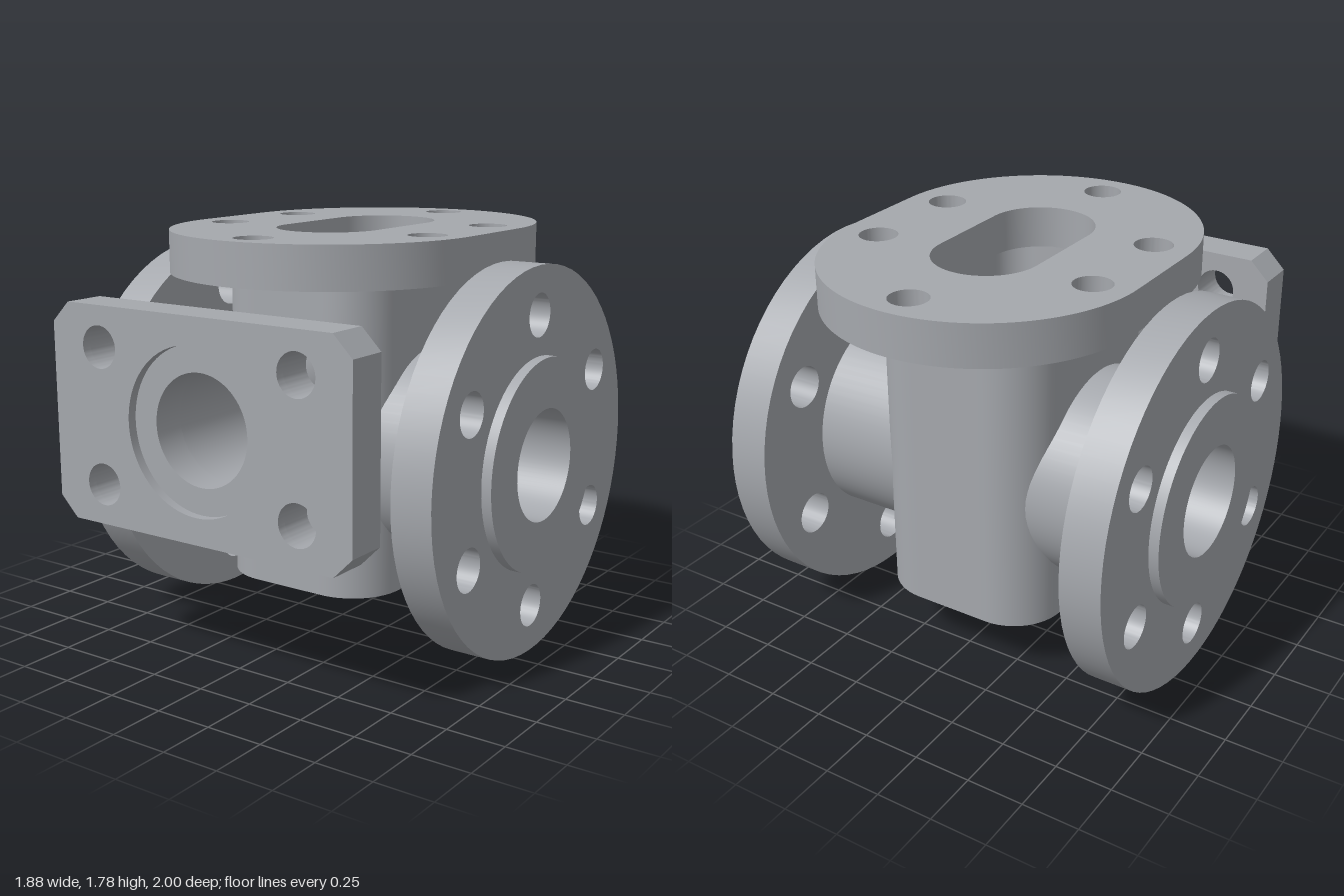
import * as THREE from 'three';
import { toCreasedNormals } from 'three/addons/utils/BufferGeometryUtils.js';

const CZ = -0.113;            // z of the body's vertical axis
const SIDE_Y = 0.83, FRONT_Y = 1.06;

const circle = (x, y, r) => new THREE.Path().absarc(x, y, r, 0, Math.PI * 2, false);

// Rounded rectangle with half sizes a, b; starts mid-flat on the +x side
function roundedRect(a, b, r) {
  const s = new THREE.Shape();
  s.moveTo(a, 0);
  s.lineTo(a, b - r);
  s.absarc(a - r, b - r, r, 0, Math.PI / 2, false);
  s.lineTo(-a + r, b);
  s.absarc(-a + r, b - r, r, Math.PI / 2, Math.PI, false);
  s.lineTo(-a, -b + r);
  s.absarc(-a + r, -b + r, r, Math.PI, Math.PI * 1.5, false);
  s.lineTo(a - r, -b);
  s.absarc(a - r, -b + r, r, Math.PI * 1.5, Math.PI * 2, false);
  s.lineTo(a, 0);
  return s;
}

// Straight-ended slot outline (rounded ends along y)
function slot(r, half, Type = THREE.Shape) {
  const s = new Type();
  s.absarc(0, half, r, 0, Math.PI, false);
  s.absarc(0, -half, r, Math.PI, Math.PI * 2, false);
  s.closePath();
  return s;
}

// Plate with holes, extruded from z0 to z1
function plate(shape, holes, z0, z1) {
  shape.holes.push(...holes);
  const g = new THREE.ExtrudeGeometry(shape, { depth: z1 - z0, bevelEnabled: false, curveSegments: 36 });
  g.translate(0, 0, z0);
  return toCreasedNormals(g, 0.5);
}

function disc(r) {
  return new THREE.Shape().absarc(0, 0, r, 0, Math.PI * 2, false);
}

// Vertical wall following an outline, left open where the pipe necks pass through
function wall(outline, y0, y1, inward) {
  const pts = outline.getSpacedPoints(128), n = pts.length, rows = 48;
  const pos = [], idx = [];
  for (let j = 0; j <= rows; j++) {
    for (const p of pts) pos.push(p.x, y0 + (y1 - y0) * j / rows, p.y);
  }
  for (let j = 0; j < rows; j++) {
    const y = y0 + (y1 - y0) * (j + 0.5) / rows;
    for (let i = 0; i < n - 1; i++) {
      const x = (pts[i].x + pts[i + 1].x) / 2, z = (pts[i].y + pts[i + 1].y) / 2;
      const inFront = z > 0.3 && Math.hypot(x, y - FRONT_Y) < 0.257;
      const inSide = Math.abs(x) > 0.25 && Math.hypot(z, y - SIDE_Y) < 0.275;
      if (inFront || inSide) continue;
      const a = j * n + i, b = a + 1, c = a + n, d = c + 1;
      if (inward) idx.push(a, b, c, b, d, c);
      else idx.push(a, c, b, b, c, d);
    }
  }
  const g = new THREE.BufferGeometry();
  g.setAttribute('position', new THREE.Float32BufferAttribute(pos, 3));
  g.setIndex(idx);
  g.computeVertexNormals();
  return g;
}

export function createModel() {
  const model = new THREE.Group();
  model.name = 'valveBody';
  const metal = new THREE.MeshStandardMaterial({ color: 0xa5a8ad });
  metal.name = 'grey metal';
  const add = (parent, name, geometry) => {
    const m = new THREE.Mesh(geometry, metal);
    m.name = name;
    parent.add(m);
    return m;
  };
  const group = (name, x, y, z) => {
    const g = new THREE.Group();
    g.name = name;
    g.position.set(x, y, z);
    model.add(g);
    return g;
  };

  // Hollow central body
  const body = group('body', 0, 0, CZ);
  const outer = roundedRect(0.408, 0.52, 0.235);
  const inner = roundedRect(0.305, 0.417, 0.13);
  add(body, 'outerWall', wall(outer, 0.255, 1.6, false));
  add(body, 'cavityWall', wall(inner, 0.36, 1.6, true));
  add(body, 'bottom', new THREE.ShapeGeometry(outer, 24).rotateX(Math.PI / 2).translate(0, 0.255, 0));
  add(body, 'cavityFloor', new THREE.ShapeGeometry(inner, 24).rotateX(-Math.PI / 2).translate(0, 0.36, 0));

  // Slot-shaped top flange with six bolt holes
  const topHoles = [[0, 0.73], [0, -0.73]];
  for (const sx of [-1, 1]) for (const sy of [-1, 1]) topHoles.push([sx * 0.51, sy * 0.248]);
  const top = plate(slot(0.68, 0.206),
    [slot(0.23, 0.202, THREE.Path), ...topHoles.map(([x, y]) => circle(x, y, 0.082))], 1.597, 1.777);
  add(body, 'topFlange', top.rotateX(-Math.PI / 2));

  // Round side flanges with necks and raised faces
  const boltHoles = [];
  for (let k = 0; k < 6; k++) {
    const a = Math.PI / 2 + k * Math.PI / 3;
    boltHoles.push(circle(0.625 * Math.cos(a), 0.625 * Math.sin(a), 0.092));
  }
  const flangeGeo = plate(disc(0.83), [circle(0, 0, 0.45), ...boltHoles], 0.718, 0.898);
  const neckGeo = plate(disc(0.455), [circle(0, 0, 0.24)], 0.302, 0.942);
  for (const side of [1, -1]) {
    const port = group(side > 0 ? 'leftPort' : 'rightPort', 0, SIDE_Y, CZ);
    port.rotation.y = side * Math.PI / 2;
    add(port, 'sideFlange', flangeGeo);
    add(port, 'sideNeck', neckGeo);
  }

  // Front port: neck and chamfered plate with a shallow round recess
  const front = group('frontPort', 0, FRONT_Y, 0);
  add(front, 'frontNeck', plate(disc(0.285), [circle(0, 0, 0.23)], 0.297, 0.82));
  const W = 0.74, H = 0.455, C = 0.086;
  const plateShape = () => new THREE.Shape([
    [W, -H + C], [W, H - C], [W - C, H], [-W + C, H],
    [-W, H - C], [-W, -H + C], [-W + C, -H], [W - C, -H],
  ].map(([x, y]) => new THREE.Vector2(x, y)));
  const corners = () => [[1, 1], [1, -1], [-1, 1], [-1, -1]].map(([x, y]) => circle(x * 0.49, y * 0.285, 0.088));
  add(front, 'frontPlate', plate(plateShape(), [circle(0, 0, 0.23), ...corners()], 0.818, 0.96));
  add(front, 'frontPlateFace', plate(plateShape(), [circle(0, 0, 0.342), ...corners()], 0.96, 1.0));

  return model;
}
